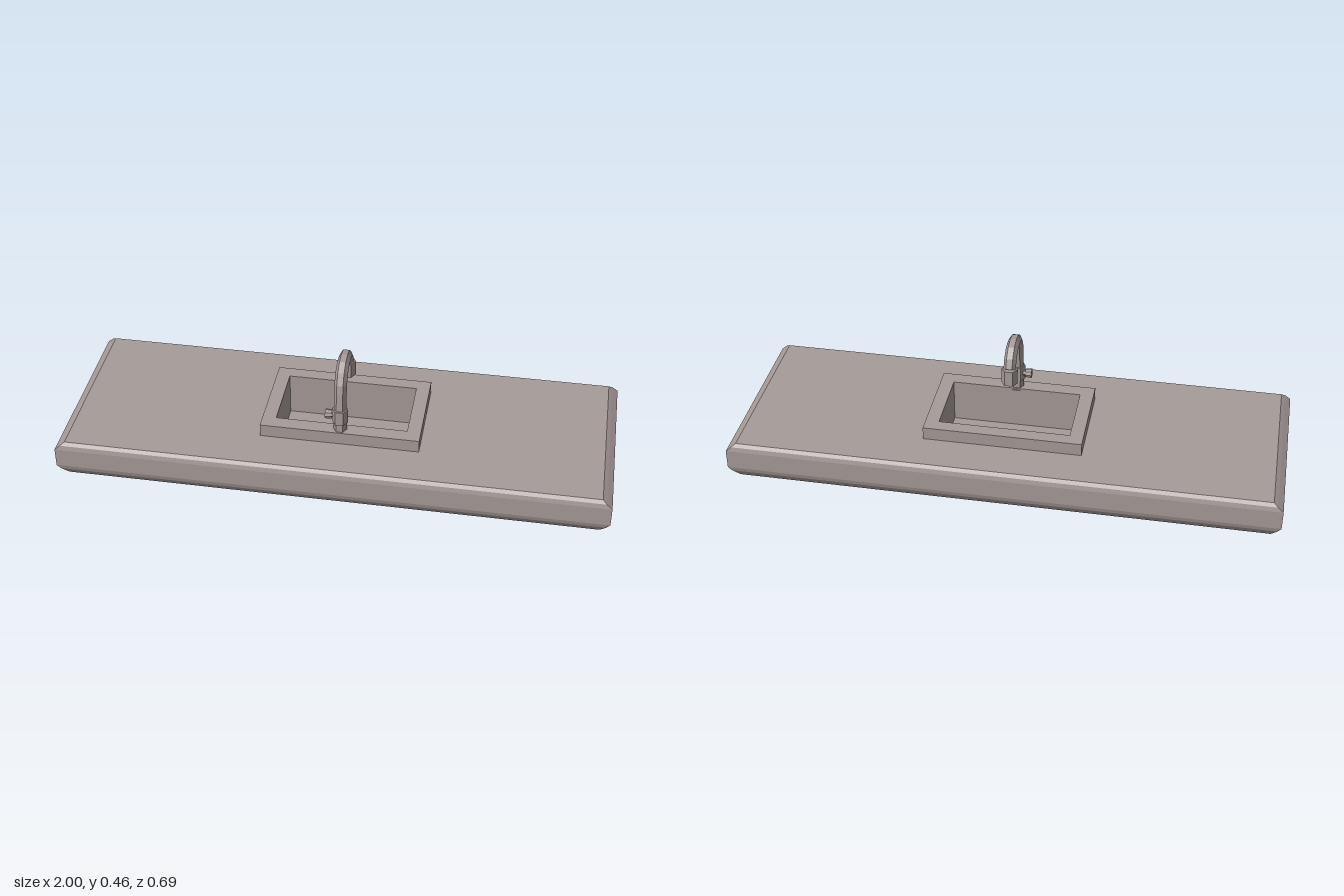
import * as THREE from 'three';

const stone = new THREE.MeshStandardMaterial({ color: 0xa69b99, flatShading: true });
stone.name = 'warm grey';

// Skin a stack of rectangles [x0, x1, z0, z1, y], optionally capping its ends.
function loftRects(rects, capStart, capEnd) {
  const rings = rects.map(([x0, x1, z0, z1, y]) => [[x0, y, z1], [x1, y, z1], [x1, y, z0], [x0, y, z0]]);
  const pos = [];
  const quad = (a, b, c, d) => [a, b, c, a, c, d].forEach(p => pos.push(...p));
  for (let i = 0; i + 1 < rings.length; i++) {
    const a = rings[i], b = rings[i + 1];
    for (let j = 0; j < 4; j++) {
      const k = (j + 1) % 4;
      quad(a[j], a[k], b[k], b[j]);
    }
  }
  if (capStart) quad(...[...rings[0]].reverse());
  if (capEnd) quad(...rings[rings.length - 1]);
  const geo = new THREE.BufferGeometry();
  geo.setAttribute('position', new THREE.Float32BufferAttribute(pos, 3));
  geo.computeVertexNormals();
  return geo;
}

// Six-sided rod with a corner facing +x
function hexRod(radius, height) {
  return new THREE.CylinderGeometry(radius, radius, height, 6).rotateY(Math.PI / 2);
}

export function createModel() {
  const group = new THREE.Group();
  const add = (name, geo, x = 0, y = 0, z = 0) => {
    const mesh = new THREE.Mesh(geo, stone);
    mesh.name = name;
    mesh.position.set(x, y, z);
    group.add(mesh);
    return mesh;
  };

  const slabTop = 0.147, rimTop = 0.195, floor = 0.03;
  const outer = [-0.275, 0.305, -0.183, 0.178];
  const inner = [-0.225, 0.255, -0.134, 0.125];

  // Worktop with bevelled edges, open where the basin sits
  const profile = [
    [0.965, 0.322, 0], [0.987, 0.342, 0.03], [1, 0.347, 0.047],
    [1, 0.347, 0.119], [0.98, 0.343, 0.136], [0.965, 0.332, slabTop],
  ];
  const slab = profile.map(([x, z, y]) => [-x, x, -z, z, y]);
  slab.push([...outer, slabTop]);
  add('worktop', loftRects(slab, true, false));

  // Raised rim, inner walls and floor of the basin
  add('basin', loftRects(
    [[...outer, slabTop], [...outer, rimTop], [...inner, rimTop], [...inner, floor]], false, true));

  // Tap: stem, sleeve, curved spout and nozzle
  const tapX = 0.015, tapZ = 0.151;
  add('overflow', new THREE.BoxGeometry(0.03, 0.022, 0.008), tapX, 0.178, 0.125);
  add('tapStem', hexRod(0.0242, 0.035), tapX, 0.2115, tapZ);
  add('tapSleeve', hexRod(0.029, 0.057), tapX, 0.2565, tapZ);

  const path = [
    [0.28, 0.151], [0.325, 0.146], [0.37, 0.14], [0.403, 0.13], [0.427, 0.105],
    [0.437, 0.069], [0.433, 0.029], [0.412, -0.001], [0.376, -0.018],
  ].map(([y, z]) => new THREE.Vector3(tapX, y, z));
  add('spout', new THREE.TubeGeometry(new THREE.CatmullRomCurve3(path), 9, 0.0225, 6));
  const nozzle = add('nozzle', hexRod(0.0295, 0.059), tapX, 0.348, -0.0185);
  nozzle.rotation.x = 0.03;

  // Side lever with a wider knob
  const lever = new THREE.CylinderGeometry(0.011, 0.011, 0.04, 6).rotateZ(Math.PI / 2);
  add('leverArm', lever, -0.01, 0.255, 0.147);
  const knob = new THREE.CylinderGeometry(0.018, 0.016, 0.024, 8).rotateZ(Math.PI / 2);
  add('leverKnob', knob, -0.027, 0.255, 0.147);

  return group;
}
